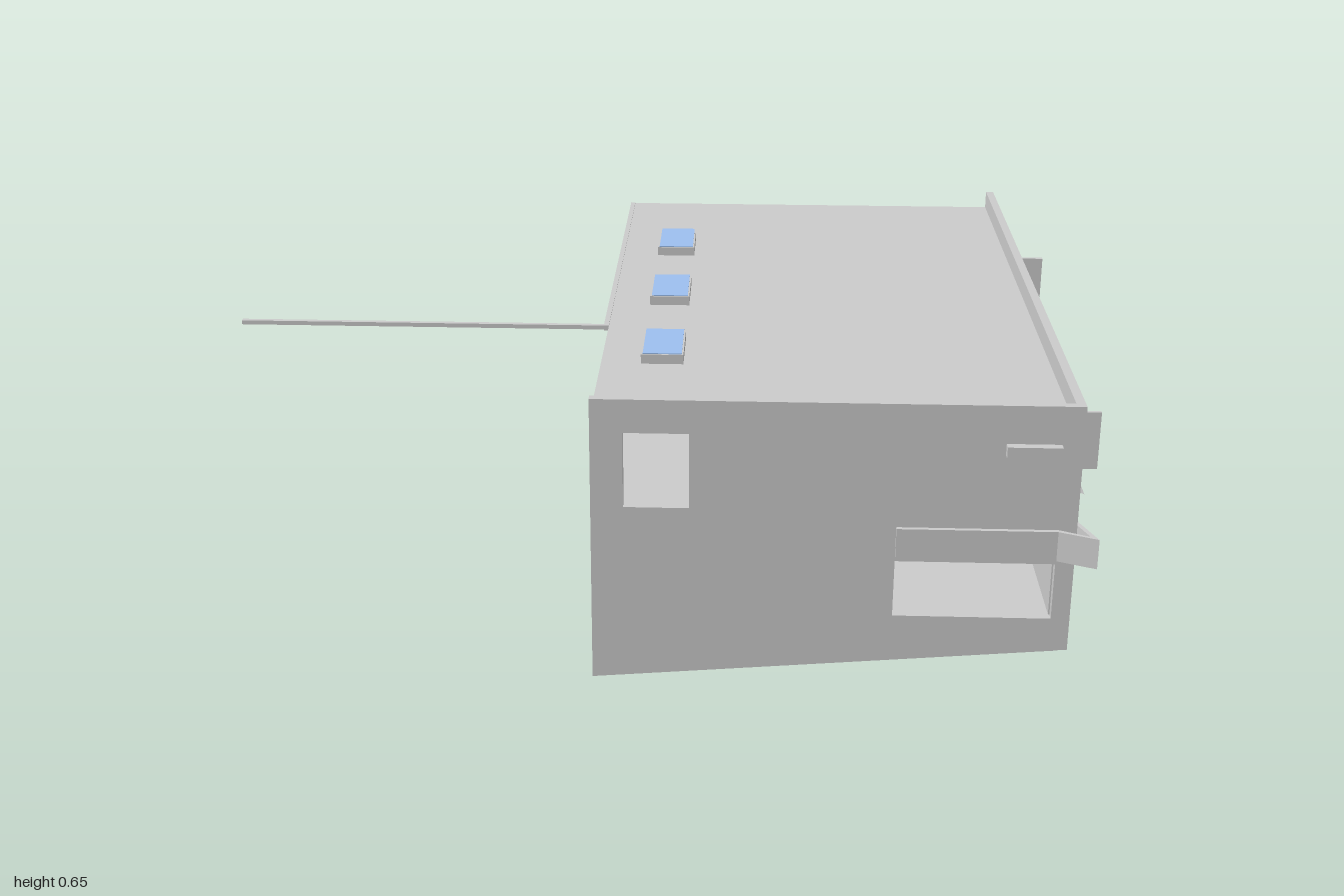
import * as THREE from 'three';

export function createModel() {
  const root = new THREE.Group();
  const grey = new THREE.MeshStandardMaterial({ color: 0xcccccc });
  const thin = new THREE.MeshStandardMaterial({ color: 0xcccccc, side: THREE.DoubleSide });
  const blue = new THREE.MeshStandardMaterial({ color: 0x9dc0f0 });

  function add(name, geometry, material = grey) {
    const mesh = new THREE.Mesh(geometry, material);
    mesh.name = name;
    root.add(mesh);
    return mesh;
  }
  // Box given by its limits on each axis
  function box(name, x0, x1, y0, y1, z0, z1, material) {
    const mesh = add(name, new THREE.BoxGeometry(x1 - x0, y1 - y0, z1 - z0), material);
    mesh.position.set((x0 + x1) / 2, (y0 + y1) / 2, (z0 + z1) / 2);
    return mesh;
  }
  // Upright panel with rectangular openings [a0, a1, y0, y1]
  function panel(name, outline, holes, depth) {
    const shape = new THREE.Shape(outline.map(([a, y]) => new THREE.Vector2(a, y)));
    for (const [a0, a1, y0, y1] of holes) {
      shape.holes.push(new THREE.Path([[a0, y0], [a0, y1], [a1, y1], [a1, y0]]
        .map(([a, y]) => new THREE.Vector2(a, y))));
    }
    return add(name, new THREE.ExtrudeGeometry(shape, { depth, bevelEnabled: false }));
  }
  // Panel that faces +x; its first coordinate is -z
  function sidePanel(name, x, outline, holes, depth) {
    const mesh = panel(name, outline, holes, depth);
    mesh.rotation.y = Math.PI / 2;
    mesh.position.x = x;
  }

  const L = -0.12, R = 0.91, F = 0.82, B = -0.87, T = 0.02;
  const ROOF = 0.61, TOP = 0.655, GROUND = 0.09, UPPER = 0.355;
  const slope = x => GROUND * (x - L) / (R - L);

  // Street facade: doors are notches in the lower edge
  const doors = [[-0.78, -0.67], [0.055, 0.16], [0.265, 0.37], [0.58, 0.69]];
  const outline = [[-F, GROUND]];
  for (const [a, b] of doors) outline.push([a, GROUND], [a, 0.28], [b, 0.28], [b, GROUND]);
  outline.push([-B, GROUND], [-B, TOP], [-F, TOP]);
  const upperWindows = [-0.745, -0.53, -0.215, 0.005, 0.455, 0.675].map(a => [a, a + 0.14, 0.41, 0.585]);
  const shopWindows = [[-0.425, 0.045], [0.44, 0.565], [0.71, 0.835]].map(([a, b]) => [a, b, 0.165, 0.28]);
  sidePanel('streetFacade', R - T, outline, [...upperWindows, ...shopWindows], T);

  // Front and back walls follow the sloping ground
  const gable = top => [[L, 0], [R - T, slope(R - T)], [R - T, top], [L, top]];
  panel('frontWall', gable(TOP), [[-0.05, 0.09, 0.41, 0.58], [0.53, 0.87, 0.165, 0.295]], T)
    .position.z = F - T;
  panel('backWall', gable(ROOF), [], T).position.z = B;
  box('rearWall', L, L + T, 0, ROOF, B + T, F - T);
  box('roof', L + T, R - T, ROOF - T, ROOF, B + T, F - T);

  // Floors, left open at the stairwell
  for (const [z0, z1] of [[B + T, -0.4], [-0.2, F - T]]) {
    box('groundFloor', L + T, R - T, GROUND, GROUND + 0.008, z0, z1);
    box('upperFloor', L + T, R - T, UPPER - 0.02, UPPER, z0, z1);
  }
  box('landing', L + T, 0.42, UPPER - 0.02, UPPER, -0.4, -0.2);
  for (const z of [-0.4, -0.21]) box('stairwellWall', L + T, R - T, GROUND, UPPER - 0.02, z, z + 0.01);

  // Inner walls with doorways
  const innerWall = (name, x, y0, y1, gaps) => {
    const points = [[-F + T, y0]];
    for (const [a, b] of gaps) points.push([a, y0], [a, y0 + 0.18], [b, y0 + 0.18], [b, y0]);
    points.push([-B - T, y0], [-B - T, y1], [-F + T, y1]);
    sidePanel(name, x, points, [], 0.01);
  };
  innerWall('upperInnerWall', 0.2, UPPER, ROOF - T, [[-0.735, -0.63], [-0.205, -0.105], [0.505, 0.6]]);
  innerWall('groundInnerWall', 0.2, GROUND, UPPER - 0.02,
    [[-0.385, -0.285], [0.09, 0.155], [0.46, 0.56], [0.73, 0.815]]);

  // Staircase
  const steps = 17, rise = (UPPER - GROUND) / steps, run = 0.027;
  for (let i = 0; i < steps; i++) {
    const x = 0.88 - i * run, y = GROUND + i * rise;
    box('stair', x - run, x, y, y + rise, -0.39, -0.21);
  }

  // Skylights
  for (const z of [-0.443, -0.027, 0.392]) {
    box('skylightFrame', -0.03, 0.066, ROOF, 0.632, z - 0.088, z + 0.088);
    box('skylightGlass', -0.026, 0.062, 0.632, 0.634, z - 0.084, z + 0.084, blue);
  }

  // Sign band that wraps the corner with a projecting point
  const band = new THREE.Shape([
    [0.53, 0.82], [0.53, 0.83], [0.87, 0.83], [0.95, 0.865], [0.92, 0.78], [0.92, 0.62],
    [0.91, 0.62], [0.91, 0.782], [0.934, 0.85], [0.872, 0.82],
  ].map(([x, z]) => new THREE.Vector2(x, -z)));
  const bandMesh = add('cornerSignBand',
    new THREE.ExtrudeGeometry(band, { depth: 0.068, bevelEnabled: false }));
  bandMesh.rotation.x = -Math.PI / 2;
  bandMesh.position.y = 0.307;

  // Flat and projecting signs
  box('shopSign', R, 0.92, 0.322, 0.386, -0.16, 0.265);
  box('endSign', R, 0.92, 0.31, 0.375, -0.835, -0.44);
  box('frontPlaque', 0.75, 0.865, 0.545, 0.57, F, 0.84);
  box('smallHangingSign', 0.925, 0.99, 0.41, 0.545, 0.56, 0.57);
  box('tallHangingSign', 0.925, 0.99, 0.39, 0.6, -0.41, -0.4);

  // Wall-mounted units
  for (const [y0, y1, z0, z1] of [[0.345, 0.4, 0.37, 0.44], [0.338, 0.402, 0.285, 0.35], [0.47, 0.535, -0.25, -0.18]]) {
    box('wallUnit', R, 0.945, y0, y1, z0, z1);
  }

  // Sloping shop awning
  const awning = add('awning', new THREE.PlaneGeometry(Math.hypot(0.085, 0.032), 0.585), thin);
  awning.rotation.set(-Math.PI / 2, Math.atan2(0.032, 0.085), 0);
  awning.position.set(0.9525, 0.3, 0.1325);

  // Pipe along the rear eaves and out to the side
  box('eavesPipe', L - 0.012, L, 0.6, 0.612, B, 0.228);
  box('sidePipe', -1, L - 0.012, 0.602, 0.612, 0.216, 0.228);

  return root;
}
